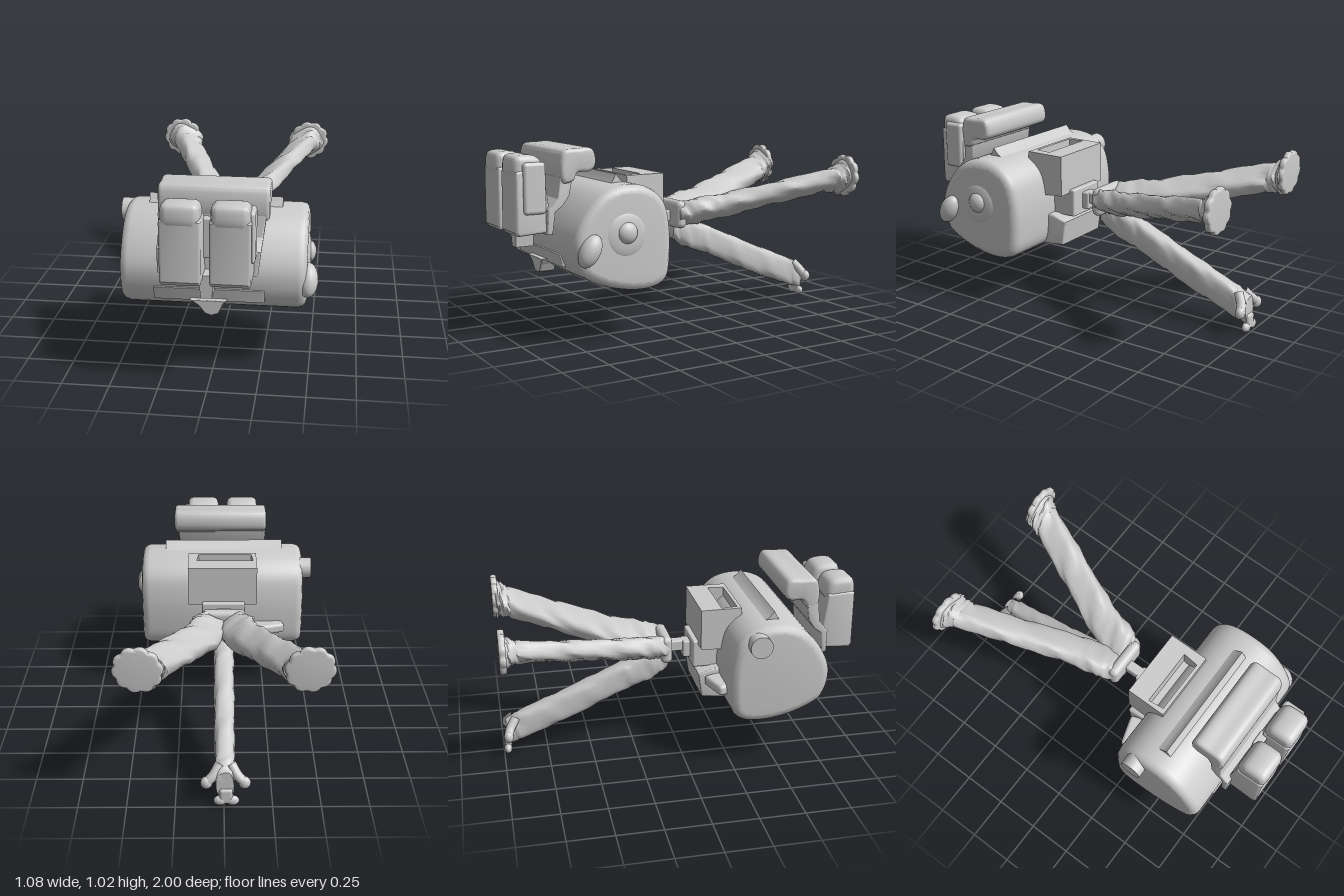
import * as THREE from 'three';
import { toCreasedNormals } from 'three/addons/utils/BufferGeometryUtils.js';
import { RoundedBoxGeometry } from 'three/addons/geometries/RoundedBoxGeometry.js';

const grey = new THREE.MeshStandardMaterial({ color: 0xcccccc });

function add(parent, name, geometry, x = 0, y = 0, z = 0) {
  const m = new THREE.Mesh(geometry, grey);
  m.name = name;
  m.position.set(x, y, z);
  parent.add(m);
  return m;
}

// Box given by its limits, softened at the edges
function block(parent, name, x0, x1, y0, y1, z0, z1, r = 0.01) {
  return add(parent, name, new RoundedBoxGeometry(x1 - x0, y1 - y0, z1 - z0, 2, r),
    (x0 + x1) / 2, (y0 + y1) / 2, (z0 + z1) / 2);
}

const flat = points => points.map(p => new THREE.Vector2(...p));

// Side profile of [z, y] points, extruded across x
function sideProfile(points, x0, x1, bevel, smooth = false) {
  const outline = smooth ? new THREE.CatmullRomCurve3(points.map(p => new THREE.Vector3(p[0], p[1], 0)), true)
    .getPoints(72).slice(0, -1).map(p => new THREE.Vector2(p.x, p.y)) : flat(points);
  const g = new THREE.ExtrudeGeometry(new THREE.Shape(outline), {
    depth: x1 - x0 - 2 * bevel, bevelEnabled: bevel > 0, bevelSize: bevel,
    bevelOffset: -bevel, bevelThickness: bevel, bevelSegments: 3,
  });
  g.rotateY(-Math.PI / 2);
  g.translate(x1 - bevel, 0, 0);
  return toCreasedNormals(g, 0.6);
}

// Lumpy strap-like leg hanging from the hub axis, sections [drop, z, halfWidth, halfDepth]
function limb(sections, ripple) {
  const sides = 20, steps = 30, pos = [], idx = [];
  for (let i = 0; i <= steps; i++) {
    const t = i / steps * (sections.length - 1);
    const k = Math.min(Math.floor(t), sections.length - 2), f = t - k;
    const [drop, z, a, b] = sections[k].map((s, n) => s + (sections[k + 1][n] - s) * f);
    for (let j = 0; j < sides; j++) {
      const q = j / sides * Math.PI * 2, c = Math.cos(q), s = Math.sin(q);
      const w = ripple * Math.sin(i * 1.9 + j * 1.3) * Math.sin(i * 0.7);
      pos.push(Math.sign(c) * Math.abs(c) ** 0.65 * (a + w),
        Math.sign(s) * Math.abs(s) ** 0.65 * (b + w) - drop, z);
    }
  }
  const end = pos.length / 3, first = sections[0], last = sections.at(-1), e = steps * sides;
  pos.push(0, -first[0], first[1], 0, -last[0], last[1]);
  for (let j = 0; j < sides; j++) {
    const n = (j + 1) % sides;
    for (let i = 0; i < steps; i++) {
      const p = i * sides;
      idx.push(p + j, p + sides + j, p + n, p + n, p + sides + j, p + sides + n);
    }
    idx.push(end, j, n, end + 1, e + n, e + j);
  }
  const g = new THREE.BufferGeometry();
  g.setAttribute('position', new THREE.Float32BufferAttribute(pos, 3));
  g.setIndex(idx);
  return toCreasedNormals(g, 0.9);
}

function ball(parent, name, x, y, z, rx, ry, rz) {
  const m = add(parent, name, new THREE.SphereGeometry(1, 20, 14), x, y, z);
  m.scale.set(rx, ry, rz);
  return m;
}

export function createModel() {
  const model = new THREE.Group();
  model.name = 'cameraOnTripod';

  // Rounded camera body with ridge and front lip
  add(model, 'body', sideProfile([[0.25, 0.33], [0.23, 0.46], [0.235, 0.62], [0.27, 0.74], [0.36, 0.815],
    [0.5, 0.835], [0.62, 0.8], [0.72, 0.7], [0.78, 0.58], [0.78, 0.48], [0.755, 0.41], [0.73, 0.375], [0.6, 0.31],
    [0.42, 0.275], [0.3, 0.29]], -0.48, 0.48, 0.045, true));
  add(model, 'topRidge', sideProfile([[0.4, 0.815], [0.53, 0.815], [0.505, 0.85], [0.49, 0.88], [0.46, 0.845]],
    -0.36, 0.34, 0));
  add(model, 'frontLip', sideProfile([[0.7, 0.4], [0.77, 0.4], [0.788, 0.47], [0.72, 0.48]], -0.3, 0.27, 0.005));
  const notch = new THREE.Shape(flat([[-0.1, 0.41], [-0.06, 0.385], [-0.03, 0.345], [0, 0.335], [0.03, 0.345],
    [0.05, 0.385], [0.07, 0.41]]));
  add(model, 'frontNotch', new THREE.ExtrudeGeometry(notch,
    { depth: 0.06, bevelSize: 0.008, bevelThickness: 0.015, bevelSegments: 3 }), 0, 0, 0.725);

  // Side controls
  const knob = add(model, 'sideKnob', new THREE.CylinderGeometry(0.062, 0.062, 0.12, 20), -0.47, 0.745, 0.375);
  knob.rotation.z = Math.PI / 2;
  ball(model, 'sideButtonBase', 0.47, 0.58, 0.5, 0.025, 0.12, 0.12);
  ball(model, 'sideButton', 0.475, 0.59, 0.5, 0.045, 0.06, 0.06);
  const hook = ball(model, 'sideHook', 0.485, 0.515, 0.715, 0.053, 0.09, 0.055);
  hook.rotation.x = -0.5;

  // Overhanging bracket with a rounded top bar and a tapering back plate
  add(model, 'bracketBar', sideProfile([[0.775, 0.96], [0.755, 1.008], [0.68, 1.015], [0.6, 1.015], [0.578, 0.98],
    [0.58, 0.92], [0.61, 0.895], [0.68, 0.89], [0.705, 0.85], [0.76, 0.84], [0.775, 0.88]], -0.27, 0.29, 0.02, true));
  const plate = sideProfile([[0.705, 0.87], [0.72, 0.77], [0.755, 0.72], [0.795, 0.69], [0.805, 0.57],
    [0.835, 0.57], [0.835, 0.7], [0.785, 0.76], [0.775, 0.87]], -0.27, 0.275, 0.008);
  const p = plate.attributes.position;
  for (let i = 0; i < p.count; i++) if (p.getX(i) > 0) p.setX(i, p.getX(i) - 0.12 * Math.max(0, 0.87 - p.getY(i)));
  add(model, 'bracketPlate', plate);
  const stem = new THREE.Shape(flat([[-0.08, 0.6], [-0.045, 0.565], [-0.035, 0.48], [0.02, 0.48], [0.03, 0.565], [0.065, 0.6]]));
  add(model, 'bracketStem', new THREE.ExtrudeGeometry(stem, { depth: 0.1, bevelEnabled: false }), 0, 0, 0.825);
  block(model, 'bracketBridge', -0.05, 0.04, 0.67, 0.88, 0.82, 0.87);

  // Twin pods with domed caps
  for (const x of [-0.128, 0.118]) {
    add(model, 'pod', sideProfile([[0.825, 0.58], [0.985, 0.57], [1, 0.59], [0.998, 0.9], [0.97, 0.91],
      [0.84, 0.9], [0.81, 0.68]], x - 0.102, x + 0.102, 0.014));
    add(model, 'podCap', sideProfile([[0.84, 0.87], [0.99, 0.87], [1, 0.95], [0.985, 0.98], [0.91, 0.987],
      [0.86, 0.97], [0.835, 0.92]], x - 0.096, x + 0.096, 0.035, true));
  }
  block(model, 'podTab', 0.18, 0.236, 0.68, 0.95, 0.835, 0.96, 0.02);

  // Rear housing with a slot in its top
  const rim = new THREE.Shape(flat([[-0.2, -0.35], [0.2, -0.35], [0.2, -0.12], [-0.2, -0.12]]));
  rim.holes.push(new THREE.Path(flat([[-0.17, -0.33], [-0.18, -0.24], [0.15, -0.24], [0.14, -0.33]])));
  const rimGeometry = new THREE.ExtrudeGeometry(rim, { depth: 0.1, bevelEnabled: false });
  rimGeometry.rotateX(-Math.PI / 2);
  add(model, 'rearHousingRim', rimGeometry, 0, 0.75, 0);
  add(model, 'rearHousing', sideProfile([[0.12, 0.752], [0.12, 0.62], [0.35, 0.6], [0.35, 0.752]], -0.2, 0.2, 0));
  block(model, 'rearMount', -0.13, 0.12, 0.48, 0.64, 0.09, 0.28);
  add(model, 'rearLowerBox', sideProfile([[0.11, 0.46], [0.13, 0.32], [0.3, 0.3], [0.3, 0.49], [0.2, 0.49]],
    -0.19, 0.18, 0.008));
  const latch = block(model, 'rearLatch', -0.36, -0.18, 0.4, 0.46, 0.16, 0.28, 0.02);
  latch.rotation.y = 0.3;

  // Tripod neck and hub
  block(model, 'neckPlate', -0.05, 0.035, 0.51, 0.61, 0.05, 0.1);
  block(model, 'neck', -0.035, 0.025, 0.545, 0.61, -0.05, 0.07);
  block(model, 'hub', -0.13, 0.12, 0.51, 0.67, -0.09, -0.025, 0.03);

  // Two raised legs with scalloped feet, turned a third of a circle each way from the lowered one
  const upperGeometry = limb([[0.06, -0.04, 0.055, 0.075], [0.085, -0.13, 0.06, 0.105], [0.133, -0.3, 0.057, 0.105],
    [0.28, -0.6, 0.053, 0.098], [0.425, -0.9, 0.055, 0.095], [0.455, -0.95, 0.075, 0.1], [0.47, -0.98, 0.1, 0.11]], 0.007);
  const edge = [];
  for (let i = 0; i < 72; i++) {
    const a = i / 72 * Math.PI * 2, r = 0.103 + 0.012 * Math.abs(Math.sin(a * 5));
    edge.push(new THREE.Vector2(r * Math.cos(a), 1.06 * r * Math.sin(a)));
  }
  const footGeometry = toCreasedNormals(new THREE.ExtrudeGeometry(new THREE.Shape(edge), {
    depth: 0.012, bevelSize: 0.012, bevelOffset: -0.006, bevelThickness: 0.012, bevelSegments: 3,
  }), 0.7);
  for (const s of [-1, 1]) {
    const leg = new THREE.Group();
    leg.name = 'raisedLeg';
    leg.position.y = 0.555;
    leg.rotation.z = s * Math.PI * 2 / 3;
    model.add(leg);
    add(leg, 'upperLeg', upperGeometry);
    add(leg, 'upperFoot', footGeometry, 0, -0.48, -0.988);
  }

  // Lowered leg with a clawed foot
  add(model, 'lowerLeg', limb([[0.045, -0.04, 0.05, 0.06], [0.085, -0.13, 0.057, 0.085],
    [0.145, -0.3, 0.056, 0.085], [0.28, -0.6, 0.056, 0.088], [0.4, -0.9, 0.052, 0.085], [0.435, -0.98, 0.045, 0.075]],
  0.004), -0.005, 0.555, 0);
  for (const s of [-1, 1]) {
    const claw = new THREE.CatmullRomCurve3([[0.03, 0.215, -0.925], [0.065, 0.165, -0.96], [0.098, 0.135, -0.972]]
      .map(c => new THREE.Vector3(s * c[0] - 0.008, c[1], c[2])));
    add(model, 'sideClaw', new THREE.TubeGeometry(claw, 10, 0.026, 10));
    ball(model, 'clawTip', s * 0.098 - 0.008, 0.133, -0.972, 0.031, 0.034, 0.027);
  }
  for (const x of [-0.045, 0.02]) ball(model, 'lowerToe', x, 0.028, -0.978, 0.034, 0.027, 0.022);
  block(model, 'toeStem', -0.045, 0.025, 0.012, 0.1, -0.995, -0.955, 0.016);
  return model;
}
